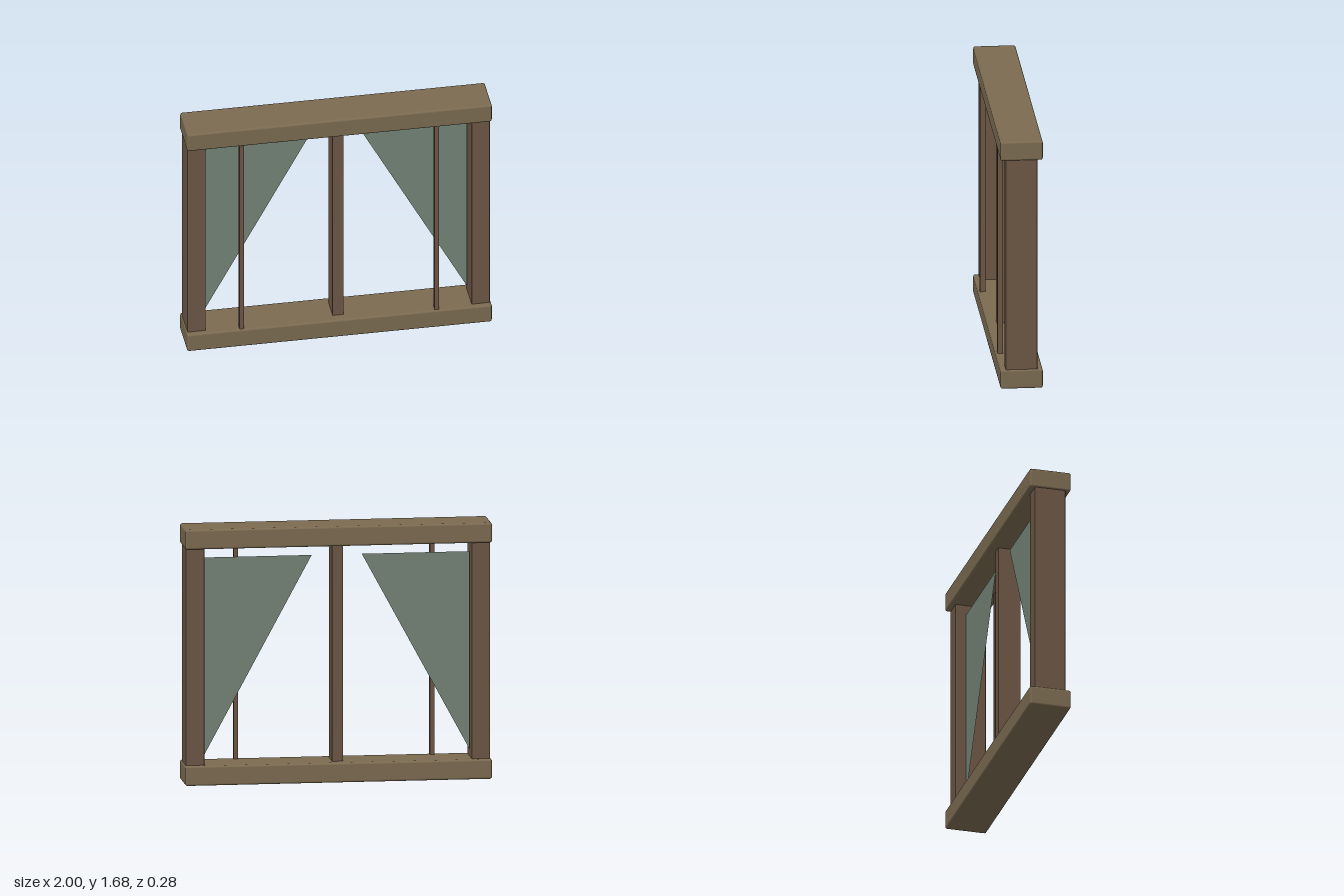
import * as THREE from 'three';
import { RoundedBoxGeometry } from 'three/addons/geometries/RoundedBoxGeometry.js';

export function createModel() {
  const model = new THREE.Group();
  model.name = 'windowFrame';

  const railWood = new THREE.MeshStandardMaterial({ color: 0x7a6a50 });
  const postWood = new THREE.MeshStandardMaterial({ color: 0x6b5644 });
  const cloth = new THREE.MeshStandardMaterial({ color: 0x738275, side: THREE.DoubleSide });

  function add(name, geometry, material, x = 0, y = 0, z = 0) {
    const mesh = new THREE.Mesh(geometry, material);
    mesh.name = name;
    mesh.position.set(x, y, z);
    model.add(mesh);
  }

  // Sill and lintel with softened edges
  const railHeight = 0.13, height = 1.68;
  const rail = new RoundedBoxGeometry(2, railHeight, 0.275, 2, 0.014);
  add('sill', rail, railWood, 0, railHeight / 2);
  add('lintel', rail, railWood, 0, height - railHeight / 2);

  // Uprights run slightly into both rails
  const uprightHeight = height - 2 * railHeight + 0.02;
  const middle = height / 2;
  const post = new RoundedBoxGeometry(0.12, uprightHeight, 0.205, 2, 0.006);
  const bar = new THREE.BoxGeometry(0.03, uprightHeight, 0.035);
  add('centrePost', new THREE.BoxGeometry(0.07, uprightHeight, 0.15), postWood, 0, middle);

  for (const [side, s] of [['left', 1], ['right', -1]]) {
    add(side + 'Post', post, postWood, s * 0.932, middle);
    add(side + 'Bar', bar, postWood, s * 0.64, middle, 0.108);

    // Triangular curtain drawn back to the outer post
    const curtain = new THREE.Shape([
      new THREE.Vector2(s * 0.867, 0.18),
      new THREE.Vector2(s * 0.867, 1.48),
      new THREE.Vector2(s * 0.163, 1.48),
    ]);
    add(side + 'Curtain', new THREE.ShapeGeometry(curtain), cloth, 0, 0, -0.035);
  }

  return model;
}
